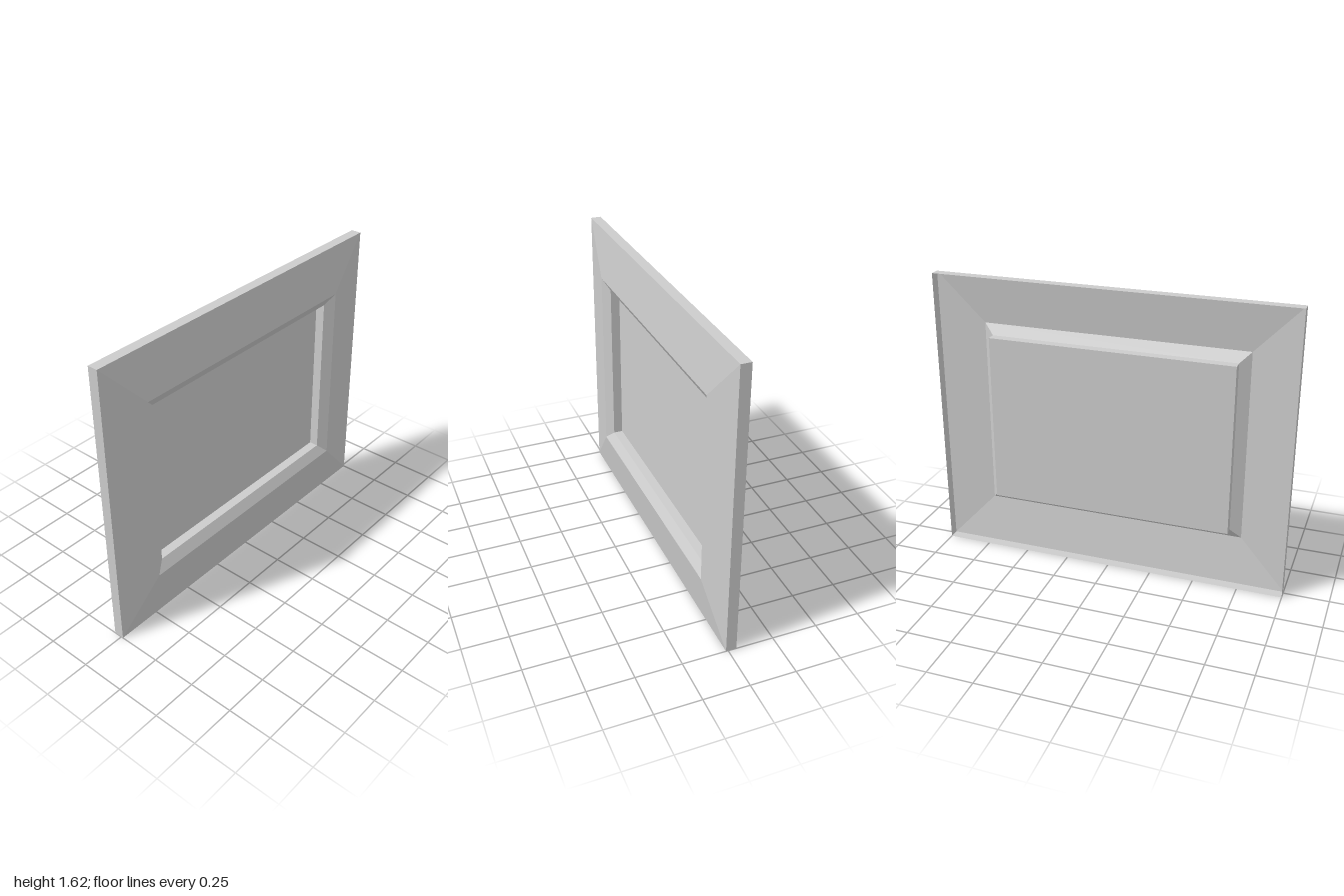
import * as THREE from 'three';

const HEIGHT = 1.62;

// Nested rectangles from the rear lip inward: x depth, half width along z, half height
const lip = { x: -0.045, w: 1, h: 0.81 };
const edge = { x: 0.012, w: 1, h: 0.81 };
const opening = { x: 0.044, w: 0.742, h: 0.535 };
const bevelEnd = { x: 0.01, w: 0.683, h: 0.478 };
const recess = { x: -0.042, w: 0.683, h: 0.478 };

const material = new THREE.MeshStandardMaterial({
  color: 0xcccccc,
  flatShading: true,
  side: THREE.DoubleSide,
});

// Corners anticlockwise as seen from +x
function corners({ x, w, h }) {
  return [[1, -1], [-1, -1], [-1, 1], [1, 1]].map(([sz, sy]) => [x, sy * h, sz * w]);
}

// Four mitred faces joining an outer rectangle to an inner one
function band(name, outer, inner) {
  const a = corners(outer);
  const b = corners(inner);
  const points = [];
  for (let i = 0; i < 4; i++) {
    const j = (i + 1) % 4;
    points.push(a[i], a[j], b[j], a[i], b[j], b[i]);
  }
  const geometry = new THREE.BufferGeometry();
  geometry.setAttribute('position', new THREE.Float32BufferAttribute(points.flat(), 3));
  geometry.computeVertexNormals();
  const mesh = new THREE.Mesh(geometry, material);
  mesh.name = name;
  return mesh;
}

export function createModel() {
  const group = new THREE.Group();
  group.name = 'framedPanel';

  const body = new THREE.Group();
  body.name = 'frame';
  body.position.y = HEIGHT / 2;
  group.add(body);

  // Hollow frame: thin outer rim, sloped face, inner bevel and recess walls
  body.add(
    band('outerRim', lip, edge),
    band('slopedFace', edge, opening),
    band('innerBevel', opening, bevelEnd),
    band('recessWalls', bevelEnd, recess),
  );

  // Flat panel closing the recess
  const panel = new THREE.Mesh(new THREE.PlaneGeometry(recess.w * 2, recess.h * 2), material);
  panel.name = 'centrePanel';
  panel.rotation.y = Math.PI / 2;
  panel.position.x = recess.x;
  body.add(panel);

  return group;
}
